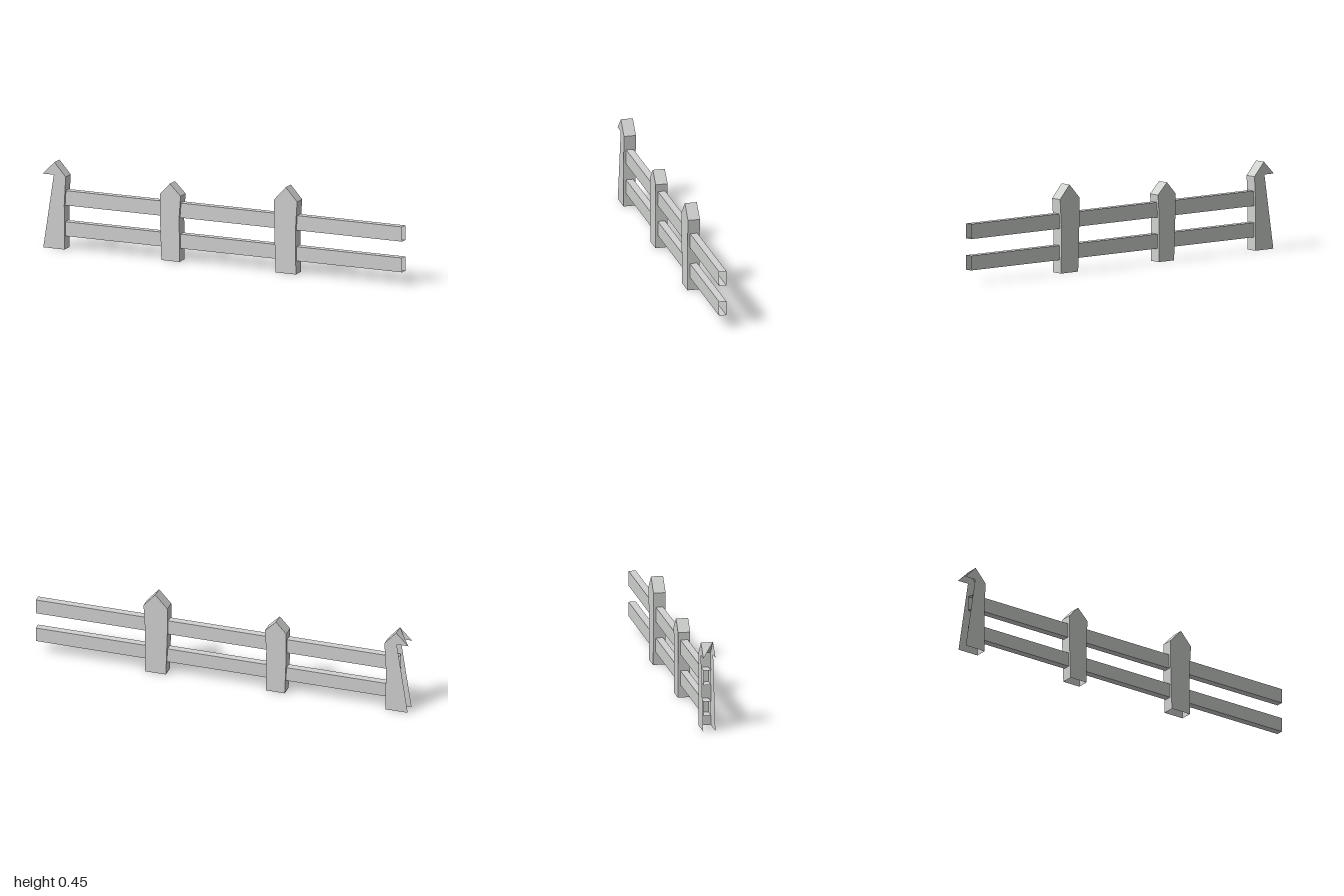
import * as THREE from 'three';

const HALF = 0.0315; // half depth of a post

export function createModel() {
  const fence = new THREE.Group();
  fence.name = 'fence';
  const grey = new THREE.MeshStandardMaterial({ color: 0xd0d2d0, flatShading: true, side: THREE.DoubleSide });
  grey.name = 'pale grey';

  function add(parent, name, geometry) {
    const mesh = new THREE.Mesh(geometry, grey);
    mesh.name = name;
    parent.add(mesh);
    return mesh;
  }

  // Triangles from a list of corner points
  function triangles(points) {
    const g = new THREE.BufferGeometry().setFromPoints(points.map(p => new THREE.Vector3(...p)));
    g.computeVertexNormals();
    return g;
  }

  // Wall swept through the depth along a clockwise 2D path
  function wall(path, depth) {
    const pts = [];
    for (let i = 0; i < path.length - 1; i++) {
      const [a, b] = [path[i], path[i + 1]];
      pts.push([...a, depth], [...b, depth], [...b, -depth]);
      pts.push([...a, depth], [...b, -depth], [...a, -depth]);
    }
    return triangles(pts);
  }

  // Front and back boards of a post
  function boards(parent, outline) {
    const shape = new THREE.Shape(outline.map(p => new THREE.Vector2(...p)));
    add(parent, 'frontBoard', new THREE.ShapeGeometry(shape)).position.z = HALF;
    const back = new THREE.ShapeGeometry(shape);
    back.setIndex([...back.index.array].reverse());
    back.attributes.normal.array.forEach((n, i, a) => { a[i] = -n; });
    add(parent, 'backBoard', back).position.z = -HALF;
  }

  // Pointed posts, waisted below the shoulders and open underneath
  const posts = [
    { name: 'middlePost', path: [[-0.338, 0], [-0.346, 0.22], [-0.346, 0.345], [-0.291, 0.405], [-0.231, 0.345], [-0.239, 0.235], [-0.237, 0]] },
    { name: 'leftPost', path: [[0.299, 0], [0.291, 0.25], [0.291, 0.381], [0.356, 0.452], [0.419, 0.381], [0.41, 0.235], [0.412, 0]] },
  ];
  for (const { name, path } of posts) {
    const post = new THREE.Group();
    post.name = name;
    boards(post, path);
    add(post, 'sidesAndCap', wall(path, HALF));
    fence.add(post);
  }

  // Broken end post: its outer side is missing and its boards are cut back to a hook
  const endPost = new THREE.Group();
  endPost.name = 'brokenEndPost';
  const peak = [-0.935, 0.452];
  const inner = [peak, [-0.872, 0.381], [-0.88, 0.235], [-0.878, 0]];
  boards(endPost, [[-0.997, 0], [-0.938, 0.386], [-1, 0.386], ...inner]);
  add(endPost, 'innerSideAndCap', wall(inner, HALF));
  add(endPost, 'brokenCap', triangles([[-1, 0.386, -HALF], [...peak, HALF], [...peak, -HALF]]));
  fence.add(endPost);

  // Two hollow rails, open at both ends
  for (const [name, low, high] of [['lowerRail', 0.068, 0.143], ['upperRail', 0.229, 0.306]]) {
    const rail = new THREE.BoxGeometry(1.945, high - low, 0.038);
    rail.setIndex([...rail.index.array].slice(12)); // drop the two end faces
    rail.clearGroups();
    add(fence, name, rail).position.set(0.0275, (low + high) / 2, 0);
  }
  return fence;
}
